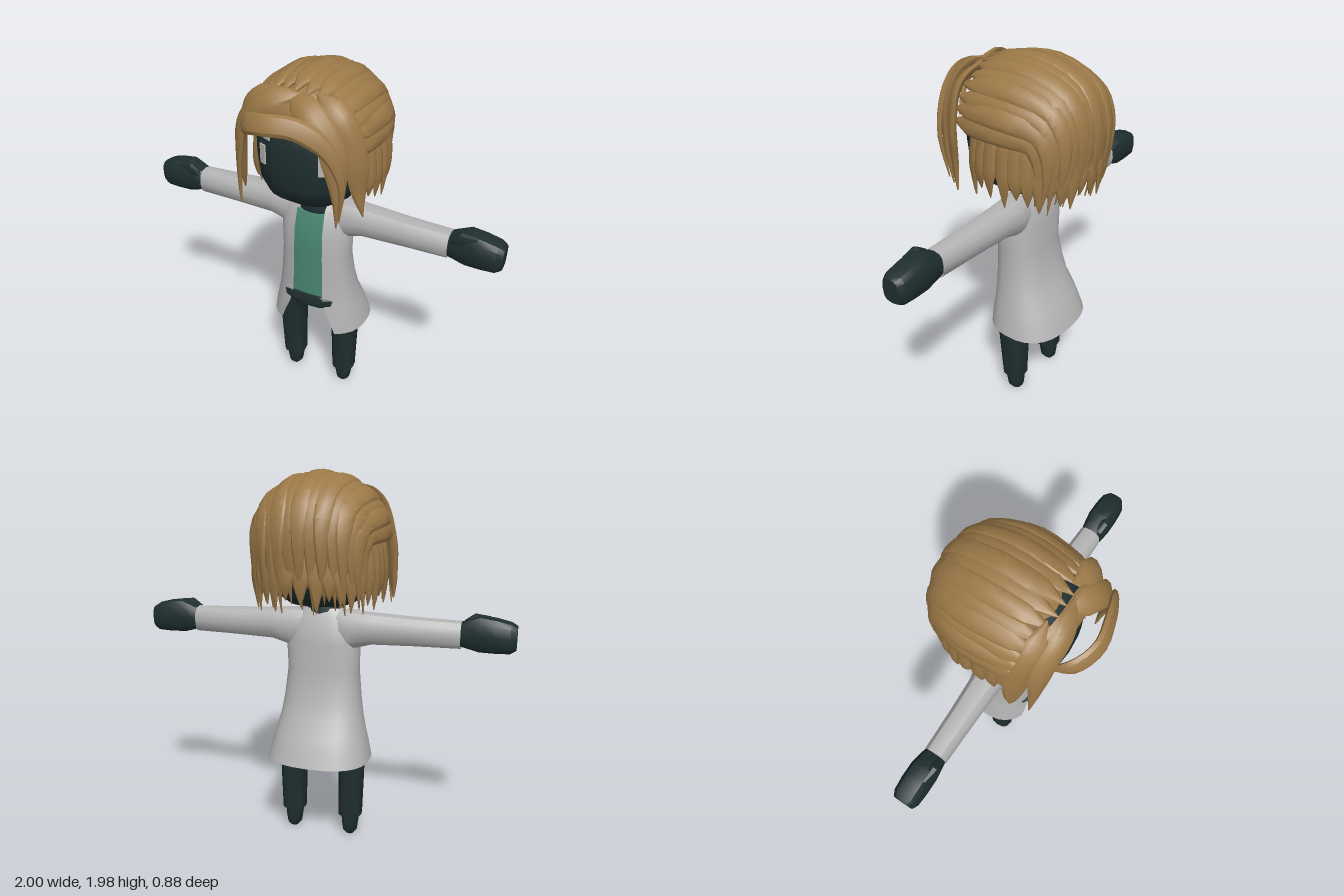
import * as THREE from 'three';
import { toCreasedNormals } from 'three/addons/utils/BufferGeometryUtils.js';

const mat = (name, color, extra = {}) => {
  const m = new THREE.MeshStandardMaterial({ color, ...extra });
  m.name = name;
  return m;
};

// Joins rows of points into a skin; closed rows wrap round.
function skin(rows, closed = true) {
  const n = rows[0].length, index = [];
  for (let r = 0; r < rows.length - 1; r++) {
    for (let i = 0; i < (closed ? n : n - 1); i++) {
      const j = (i + 1) % n, a = r * n + i, b = r * n + j;
      index.push(a, b, b + n, a, b + n, a + n);
    }
  }
  const geo = new THREE.BufferGeometry();
  geo.setAttribute('position', new THREE.Float32BufferAttribute(rows.flat(2), 3));
  geo.setIndex(index);
  return geo;
}

const bend = (v, p) => Math.sign(v) * Math.abs(v) ** (2 / p);

// Sections run upward: [y, centre x, centre z, half width, half depth].
function loft(secs, n = 14, p = 2.4) {
  const first = secs[0], last = secs[secs.length - 1];
  const all = [[...first.slice(0, 3), 0.001, 0.001], ...secs, [...last.slice(0, 3), 0.001, 0.001]];
  return skin(all.map(([y, cx, cz, rx, rz]) => Array.from({ length: n }, (_, i) => {
    const a = (i / n) * Math.PI * 2;
    return [cx + rx * bend(Math.sin(a), p), y, cz + rz * bend(Math.cos(a), p)];
  })));
}

// Sections run outward from the body: [distance, y, z, half height, half depth].
function limb(side, secs, n = 12, p = 2.5) {
  return loft(secs.map(([d, y, z, ry, rz]) => [d, -side * y, z, ry, rz]), n, p).rotateZ(-side * Math.PI / 2);
}

// A lock of hair: a flattened tapering sweep lying on the head.
function lock(points, width, thick = 0.02, steps = 16) {
  const curve = new THREE.CatmullRomCurve3(points.map((p) => new THREE.Vector3(...p)));
  const rows = [];
  for (let s = 0; s <= steps; s++) {
    const t = s / steps, c = curve.getPoint(t), T = curve.getTangent(t);
    const out = c.clone().sub(new THREE.Vector3(0, Math.min(c.y, 1.6), -0.08));
    out.addScaledVector(T, -out.dot(T)).normalize();
    const right = T.clone().cross(out);
    const k = Math.min(1, 0.05 + t * 7, 0.03 + (1 - t) * 2.4);
    rows.push(Array.from({ length: 8 }, (_, i) => {
      const a = (i / 8) * Math.PI * 2;
      return c.clone().addScaledVector(right, Math.sin(a) * width * k)
        .addScaledVector(out, Math.cos(a) * thick * Math.sqrt(k)).toArray();
    }));
  }
  return skin(rows);
}

export function createModel() {
  const dark = mat('darkSkin', 0x1f2e2f);
  const hair = mat('hairBrown', 0x9c7948);
  const cloth = mat('coatGrey', 0xb4b4b4, { side: THREE.DoubleSide });
  const green = mat('shirtGreen', 0x488770);
  const pale = mat('faceMarks', 0xb9b6b2);

  const model = new THREE.Group();
  model.name = 'figure';
  const add = (name, geo, material, parent = model, crease = 0.6) => {
    const mesh = new THREE.Mesh(toCreasedNormals(geo, crease), material);
    mesh.name = name;
    parent.add(mesh);
    return mesh;
  };

  // Head and neck
  add('head', loft([
    [1.3, 0, -0.02, 0.09, 0.12], [1.315, 0, -0.02, 0.17, 0.19], [1.36, 0, -0.02, 0.225, 0.25],
    [1.44, 0, -0.02, 0.265, 0.28], [1.55, 0, -0.02, 0.28, 0.285], [1.65, 0, -0.02, 0.28, 0.285],
    [1.74, 0, -0.02, 0.265, 0.27], [1.81, 0, -0.02, 0.21, 0.22], [1.86, 0, -0.02, 0.1, 0.12],
  ], 24, 2.6), dark);
  add('neck', loft([[1.16, 0, -0.035, 0.09, 0.085], [1.22, 0, -0.035, 0.095, 0.08], [1.33, 0, -0.03, 0.075, 0.07]]), dark);

  // Eyes and brows
  for (const s of [-1, 1]) {
    const eye = add('eye', new THREE.BoxGeometry(0.038, 0.1, 0.009), pale);
    eye.position.set(s * 0.16, 1.59, 0.24);
    eye.rotation.y = s * 0.45;
    const brow = add('brow', new THREE.BoxGeometry(0.13, 0.026, 0.009), pale);
    brow.position.set(s * 0.165, 1.69, 0.234);
    brow.rotation.y = s * 0.46;
  }

  // Coat, open at the front: [y, half width, front z, back z, half opening]
  const coatRows = [
    [0.47, 0.28, 0.125, -0.32, 0.17], [0.55, 0.262, 0.12, -0.29, 0.14], [0.62, 0.245, 0.113, -0.26, 0.11],
    [0.7, 0.225, 0.105, -0.215, 0.09], [0.8, 0.21, 0.1, -0.18, 0.088], [0.95, 0.195, 0.098, -0.15, 0.085],
    [1.1, 0.2, 0.09, -0.15, 0.082], [1.23, 0.175, 0.055, -0.125, 0.08], [1.285, 0.115, 0.02, -0.095, 0.085],
  ];
  add('coat', skin(coatRows.map(([y, hx, zf, zb, gap]) => {
    const a0 = Math.asin((gap / hx) ** 1.25), mid = (zf + zb) / 2, rz = (zf - zb) / 2;
    return Array.from({ length: 23 }, (_, i) => {
      const a = a0 + (i / 22) * (Math.PI - a0) * 2;
      return [hx * bend(Math.sin(a), 2.5), y, mid + rz * bend(Math.cos(a), 2.5)];
    });
  }), false), cloth);

  // Shirt follows the coat from inside
  add('shirt', loft([
    ...coatRows.slice(3, 8).map(([y, hx, zf, zb]) => [Math.min(y, 1.2), 0, (zf + zb) / 2, hx * 0.93, (zf - zb) * 0.47]),
  ], 20, 2.8), green);

  // Hips
  add('hips', loft([
    [0.59, 0, -0.04, 0.09, 0.09], [0.63, 0, -0.03, 0.13, 0.14], [0.655, 0, -0.03, 0.165, 0.145],
    [0.685, 0, -0.03, 0.17, 0.142], [0.7, 0, -0.03, 0.12, 0.138],
  ], 16, 4), dark);

  for (const s of [-1, 1]) {
    // Legs and feet
    add('leg', loft([
      [0.12, s * 0.165, -0.055, 0.064, 0.065], [0.3, s * 0.167, -0.052, 0.066, 0.078],
      [0.46, s * 0.167, -0.05, 0.069, 0.09], [0.56, s * 0.15, -0.05, 0.075, 0.098], [0.66, s * 0.1, -0.05, 0.1, 0.1],
    ], 12, 2.7), dark);
    add('foot', loft([
      [0.005, s * 0.165, -0.058, 0.022, 0.028], [0.025, s * 0.165, -0.058, 0.038, 0.045],
      [0.08, s * 0.165, -0.057, 0.046, 0.052], [0.14, s * 0.165, -0.055, 0.05, 0.055],
    ], 12), dark);

    // Sleeves and hands
    add('sleeve', limb(s, [
      [0.08, 1.18, -0.045, 0.1, 0.075], [0.17, 1.175, -0.045, 0.105, 0.085], [0.27, 1.185, -0.045, 0.086, 0.078],
      [0.5, 1.182, -0.042, 0.077, 0.068], [0.73, 1.18, -0.04, 0.072, 0.062],
    ]), cloth);
    add('hand', limb(s, [
      [0.7, 1.18, -0.04, 0.055, 0.05], [0.75, 1.187, -0.04, 0.07, 0.06], [0.82, 1.193, -0.04, 0.095, 0.069],
      [0.9, 1.187, -0.04, 0.09, 0.07], [0.97, 1.18, -0.04, 0.08, 0.066], [1, 1.18, -0.04, 0.062, 0.05],
    ], 12, 3), dark);
    add('thumb', limb(s, [
      [0.74, 1.23, 0, 0.02, 0.02], [0.79, 1.25, 0.005, 0.035, 0.027], [0.87, 1.255, 0, 0.02, 0.015],
    ], 8), dark);
  }

  // Hair: inner cap, open toward the face
  const hairdo = new THREE.Group();
  hairdo.name = 'hair';
  model.add(hairdo);
  const cap = new THREE.SphereGeometry(1, 24, 16, 0, Math.PI * 2, 0, 2.6)
    .rotateX(-Math.PI / 2).scale(0.31, 0.31, 0.32).translate(0, 1.63, -0.08);
  const pos = cap.attributes.position;
  for (let i = 0; i < pos.count; i++) pos.setY(i, Math.max(pos.getY(i), 1.42));
  add('hairCap', cap, hair, hairdo);

  // Locks combed from the hairline over the crown and down the back
  for (let i = 0; i < 15; i++) {
    const phi = ((i - 7) / 7) * 1.42, s = Math.sin(phi), k = Math.cos(phi), lift = i % 2 ? 0.008 : 0;
    add('crownLock', lock([
      [0.295 * s, 1.64 + 0.275 * k, 0.21], [0.325 * s, 1.64 + 0.31 * k + lift, 0.06],
      [(0.33 + lift) * s, 1.64 + 0.315 * k + lift, -0.13], [0.29 * s, 1.63 + 0.25 * k, -0.25 - 0.08 * k - lift],
      [0.28 * s, 1.58 + 0.15 * k, -0.27 - 0.14 * k - lift], [0.28 * s, 1.48 + 0.05 * k, -0.27 - 0.14 * k - lift],
      [0.28 * s, 1.3 + 0.025 * (i % 3), -0.25 - 0.12 * k],
    ], 0.052), hair, hairdo);
  }

  // Lower locks hanging round the sides and back
  for (let i = 0; i < 23; i++) {
    const a = 1.1 + (i / 22) * (Math.PI * 2 - 2.2);
    const x = 0.325 * bend(Math.sin(a), 2.4), z = -0.08 + 0.32 * bend(Math.cos(a), 2.4);
    const at = (r, y) => [x * r, y, -0.08 + (z + 0.08) * r];
    add('lowerLock', lock([at(0.92, 1.7), at(0.99, 1.57), at(1.01, 1.45), at(0.98, 1.31 + 0.03 * (i * 2 % 3))], 0.046, 0.017, 10), hair, hairdo);
  }

  // Fringe and long locks framing the face
  const fringe = [
    [[[-0.22, 1.72, 0.25], [-0.17, 1.79, 0.36], [-0.05, 1.825, 0.41], [0.1, 1.82, 0.38], [0.22, 1.74, 0.34], [0.29, 1.58, 0.31], [0.27, 1.34, 0.28]], 0.05],
    [[[-0.03, 1.91, 0.22], [0.13, 1.86, 0.29], [0.23, 1.73, 0.3], [0.265, 1.52, 0.29], [0.25, 1.3, 0.27]], 0.062],
    [[[0.1, 1.92, 0.18], [0.24, 1.84, 0.21], [0.31, 1.66, 0.2], [0.325, 1.46, 0.18], [0.34, 1.33, 0.16]], 0.06],
    [[[0.06, 1.92, 0.22], [-0.12, 1.88, 0.27], [-0.245, 1.76, 0.26], [-0.29, 1.55, 0.25], [-0.31, 1.28, 0.23]], 0.055],
    [[[-0.1, 1.92, 0.18], [-0.24, 1.83, 0.2], [-0.31, 1.65, 0.17], [-0.335, 1.42, 0.15], [-0.34, 1.32, 0.14]], 0.058],
    [[[-0.28, 1.7, 0.18], [-0.16, 1.84, 0.23], [0, 1.875, 0.25], [0.16, 1.84, 0.23], [0.28, 1.7, 0.18]], 0.06],
  ];
  for (const [points, width] of fringe) add('fringeLock', lock(points, width, 0.02, 20), hair, hairdo);

  return model;
}
